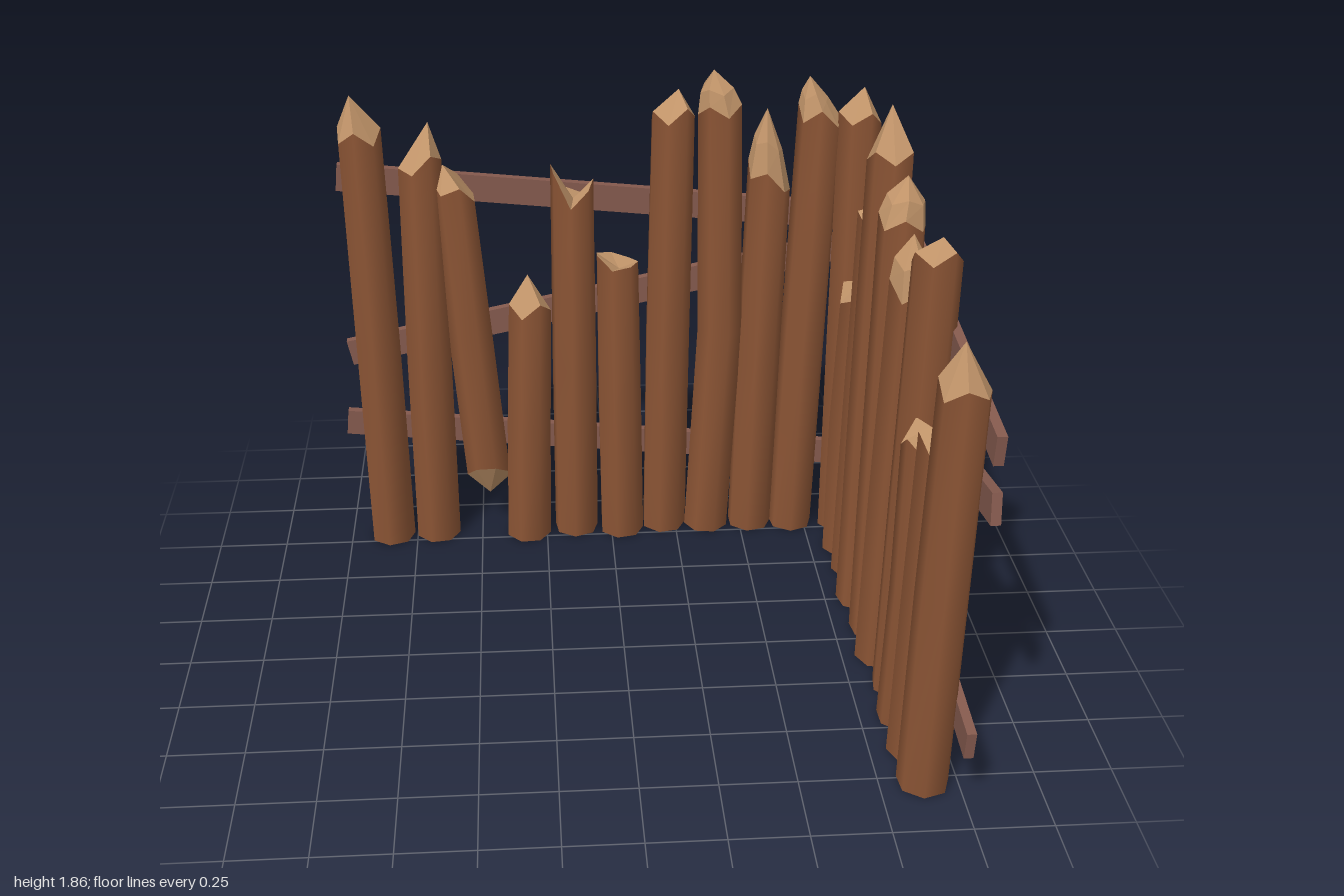
import * as THREE from 'three';

const SIDES = 7;
const bark = new THREE.MeshStandardMaterial({ color: 0x8c5535 });
bark.name = 'bark';
const cutWood = new THREE.MeshStandardMaterial({ color: 0xc2956a });
cutWood.name = 'cut wood';
const plankWood = new THREE.MeshStandardMaterial({ color: 0x855a4e });
plankWood.name = 'plank wood';

let seed = 7;
function rand() {
  seed = (seed * 16807) % 2147483647;
  return seed / 2147483647 - 0.5;
}

// Each log: u at foot, middle, shoulder; v across the row; shoulder height;
// tip u, tip height; shoulder tilt along u; fork (raised rim on both sides); bulge of the tip
const backLogs = [
  [-0.845, -0.855, -0.868, -0.80, 1.62, -0.89, 1.76, 0, 0, 0],
  [-0.67, -0.67, -0.665, -0.81, 1.51, -0.63, 1.65, 0.03, 0, 0],
  [-0.465, -0.51, -0.55, -0.81, 1.41, -0.585, 1.50, -0.02, 0, 0],
  [-0.32, -0.31, -0.295, -0.79, 0.96, -0.30, 1.08, 0, 0, 0],
  [-0.135, -0.135, -0.135, -0.82, 1.41, -0.13, 1.36, -0.03, 0.06, 0],
  [0.04, 0.03, 0.022, -0.80, 1.13, 0.03, 1.10, -0.015, 0.015, 0],
  [0.205, 0.21, 0.22, -0.83, 1.67, 0.24, 1.75, 0.01, 0, 0],
  [0.37, 0.405, 0.385, -0.82, 1.68, 0.36, 1.82, 0, 0, 0.25],
  [0.54, 0.55, 0.565, -0.82, 1.43, 0.55, 1.68, -0.03, 0, 0.15],
  [0.70, 0.715, 0.735, -0.81, 1.66, 0.695, 1.79, -0.01, 0, 0.1],
  [0.89, 0.88, 0.87, -0.79, 1.66, 0.88, 1.76, 0, 0, 0],
];
const sideLogs = [
  [0.77, 0.78, 0.80, 0.89, 1.41, 0.79, 1.54, 0, 0, 0],
  [0.61, 0.625, 0.635, 0.89, 1.15, 0.65, 1.21, 0, 0, 0],
  [0.44, 0.47, 0.44, 0.89, 1.04, 0.43, 1.08, -0.01, 0, 0],
  [0.27, 0.29, 0.31, 0.905, 1.59, 0.34, 1.66, 0.02, 0, 0],
  [0.095, 0.12, 0.155, 0.88, 1.42, 0.165, 1.60, 0, 0, 0.25],
  [-0.07, -0.085, -0.105, 0.89, 1.53, -0.12, 1.68, 0, 0, 0.3],
  [-0.255, -0.26, -0.265, 0.875, 1.70, -0.28, 1.86, 0, 0, 0],
  [-0.455, -0.44, -0.43, 0.89, 1.41, -0.44, 1.46, 0, 0, 0],
  [-0.61, -0.635, -0.595, 0.88, 1.05, -0.58, 1.12, -0.01, 0, 0],
];

function makeLog(spec, along, hanging) {
  const [u0, u1, u2, v, shoulder, tipU, tipY, tilt, fork, bulge] = spec;
  const place = (u, y, w) => along === 'x' ? new THREE.Vector3(u, y, w) : new THREE.Vector3(w, y, u);
  const turn = rand() * 2;
  const zig = Array.from({ length: SIDES }, (_, i) => (i % 2 ? 0.022 : -0.022) + rand() * 0.02);

  // Rings from foot to shoulder
  const rings = [u0, u1, u2].map((u, k) => {
    const r = [0.084, 0.083, 0.078][k];
    return Array.from({ length: SIDES }, (_, i) => {
      const a = turn + (i / SIDES) * Math.PI * 2;
      const c = Math.cos(a), s = Math.sin(a);
      const du = along === 'x' ? c : s;
      const foot = hanging ? 0.25 + 0.07 * s : 0;
      let y = [foot, (foot + shoulder) / 2, shoulder][k];
      if (k === 2) y += tilt * du + fork * (2 * du * du - 1) + zig[i] * (fork ? 0.4 : 1);
      return place(u, y, v).add(new THREE.Vector3(c * r, 0, s * r));
    });
  });

  // Bark: smooth closed skin
  const index = [];
  for (let k = 0; k < 2; k++) for (let i = 0; i < SIDES; i++) {
    const j = (i + 1) % SIDES, a = k * SIDES + i, b = k * SIDES + j;
    index.push(a, a + SIDES, b, b, a + SIDES, b + SIDES);
  }
  const skin = new THREE.BufferGeometry().setFromPoints(rings.flat());
  skin.setIndex(index);
  skin.computeVertexNormals();

  // Cut wood: faceted tip and foot
  const apex = place(tipU, tipY, v + rand() * 0.03);
  const foot = place(u0, hanging ? 0.17 : 0, v);
  const top = rings[2], faces = [];
  const waist = top.map((p) => {
    const q = p.clone().lerp(apex, 0.5);
    const centre = place((u2 + tipU) / 2, q.y, v);
    return q.add(q.clone().sub(centre).multiplyScalar(bulge * 2));
  });
  for (let i = 0; i < SIDES; i++) {
    const j = (i + 1) % SIDES;
    if (bulge) {
      faces.push(top[i], waist[i], top[j], top[j], waist[i], waist[j], waist[i], apex, waist[j]);
    } else {
      faces.push(top[i], apex, top[j]);
    }
    faces.push(rings[0][i], rings[0][j], foot);
  }
  const ends = new THREE.BufferGeometry().setFromPoints(faces);
  ends.computeVertexNormals();

  const log = new THREE.Group();
  log.name = 'log';
  const barkMesh = new THREE.Mesh(skin, bark);
  barkMesh.name = 'logBark';
  const endMesh = new THREE.Mesh(ends, cutWood);
  endMesh.name = 'logCutEnds';
  log.add(barkMesh, endMesh);
  return log;
}

// Plank between two points on the outer face of a row
function makePlank(uA, yA, uB, yB, along) {
  const du = uB - uA, dy = yB - yA;
  const size = Math.hypot(du, dy);
  const mid = (uA + uB) / 2;
  const plank = new THREE.Mesh(new THREE.BoxGeometry(size, 0.098, 0.03), plankWood);
  plank.name = 'plank';
  if (along === 'x') {
    plank.position.set(mid, (yA + yB) / 2, -0.902);
    plank.rotation.z = Math.atan2(dy, du);
  } else {
    plank.position.set(0.98, (yA + yB) / 2, mid);
    plank.rotation.set(0, -Math.PI / 2, Math.atan2(dy, du));
  }
  return plank;
}

function makeWall(name, logs, planks, along) {
  const wall = new THREE.Group();
  wall.name = name;
  logs.forEach((spec, i) => wall.add(makeLog(spec, along, along === 'x' && i === 2)));
  planks.forEach((p) => wall.add(makePlank(...p, along)));
  return wall;
}

export function createModel() {
  seed = 7;
  const model = new THREE.Group();
  model.name = 'palisadeCorner';
  model.add(
    makeWall('backWall', backLogs, [
      [-0.965, 1.43, 0.86, 1.24],
      [-0.965, 0.74, 0.85, 1.12],
      [-0.995, 0.45, 0.83, 0.26],
    ], 'x'),
    makeWall('sideWall', sideLogs, [
      [-0.895, 1.435, 0.89, 1.25],
      [-0.895, 0.735, 0.915, 1.08],
      [-0.925, 0.45, 0.93, 0.26],
    ], 'z'),
  );
  return model;
}
